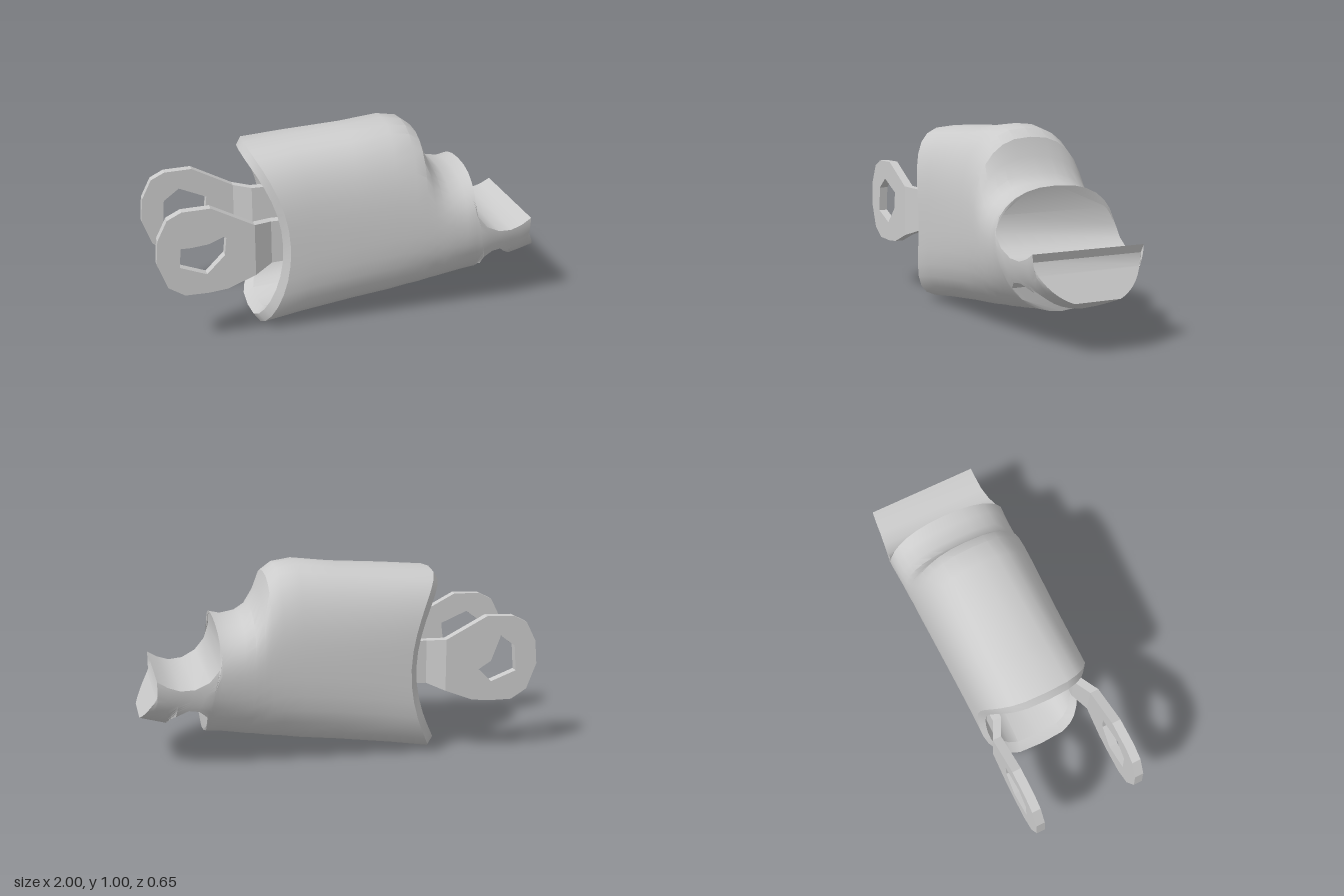
import * as THREE from 'three';
import { mergeGeometries, toCreasedNormals } from 'three/addons/utils/BufferGeometryUtils.js';

const { mapLinear, clamp } = THREE.MathUtils;
const N = 16;      // steps from top to bottom of a section
const MID = 0.48;  // height at which the sections are widest

// Half width of the body: swells towards the saddle, then narrows to the nose.
const halfWidth = (x) => x < 0.65
  ? 0.29 + 0.036 * clamp((x + 0.5) / 1.15, 0, 1) ** 1.5
  : 0.326 - 0.13 * (x - 0.65);

// One closed section: a line from a top point to a bottom point, given width W in z
// by an oval that reaches from eB to eT. bow bends the section along x.
// The oval is boxy at the socket and gets rounder towards the nose.
function section([xt, yt, xb, yb, bow = 0], W = halfWidth((xt + xb) / 2), eT = yt, eB = yb) {
  const topPower = mapLinear(xt, -0.5, 0.65, 3, 2.3);
  const bottomPower = mapLinear(Math.min(xb, 0.68), -0.5, 0.68, 3.7, 2.1);
  const side = [];
  for (let k = 0; k <= N; k++) {
    const s = (1 - Math.cos(Math.PI * k / N)) / 2;
    const x = xt + (xb - xt) * s + bow * (1 - (2 * s - 1) ** 2);
    const y = yt + (yb - yt) * s;
    const p = y > MID ? topPower : bottomPower;
    const d = Math.min(1, y > MID ? (y - MID) / (eT - MID) : (MID - y) / (MID - eB));
    side.push([x, y, W * (1 - d ** p) ** (1 / p)]);
  }
  return [...side, ...side.map(([x, y, z]) => [x, y, -z]).reverse()];
}

// Skin the sections and close both ends.
function loft(rings) {
  const m = rings[0].length, last = (rings.length - 1) * m, index = [];
  for (let i = 0; i < rings.length - 1; i++) {
    for (let j = 0; j < m; j++) {
      const a = i * m + j, b = i * m + (j + 1) % m;
      index.push(a, b, a + m, b, b + m, a + m);
    }
  }
  for (let k = 0; k < N; k++) {
    const a = k, b = k + 1, c = m - 1 - k, d = m - 2 - k;
    index.push(a, c, b, b, c, d);
    index.push(last + a, last + b, last + c, last + b, last + d, last + c);
  }
  const geo = new THREE.BufferGeometry();
  geo.setAttribute('position', new THREE.Float32BufferAttribute(rings.flat(2), 3));
  geo.setIndex(index);
  return toCreasedNormals(geo, 0.5);
}

const path = (pts, Type) => new Type(pts.map(([x, y]) => new THREE.Vector2(x, y)));

export function createModel() {
  const group = new THREE.Group();
  const material = new THREE.MeshStandardMaterial({ color: 0xcccccc, side: THREE.DoubleSide });
  const add = (name, geo) => {
    const mesh = new THREE.Mesh(geo, material);
    mesh.name = name;
    group.add(mesh);
  };

  // Body sections: top x, top y, bottom x, bottom y, bow
  // Hollow socket, from its floor out to the rim
  const socket = [
    [0.25, 0.90, 0.25, 0.14],
    [-0.20, 0.88, -0.20, 0.09, 0.06],
    [-0.49, 0.85, -0.46, 0.07, 0.13],
  ].map((row) => section(row, 0.24));
  const rim = section([-0.53, 0.89, -0.51, 0.04, 0.145], 0.262);
  // Outer shell with the step down to the ledge
  const shell = [
    [-0.505, 0.93, -0.48, 0.00, 0.15],
    [-0.28, 0.95, -0.28, 0.03, 0.06],
    [0.00, 0.97, 0.00, 0.065],
    [0.20, 0.995, 0.20, 0.085],
    [0.30, 0.98, 0.30, 0.10],
    [0.355, 0.94, 0.36, 0.105],
    [0.385, 0.85, 0.42, 0.115],
    [0.43, 0.77, 0.47, 0.12],
    [0.48, 0.735, 0.53, 0.13],
    [0.56, 0.72, 0.60, 0.14, -0.01],
    [0.62, 0.735, 0.68, 0.145, -0.035],
  ].map((row) => section(row));
  // Nose: round saddle above and notch below, cut straight across the oval
  const nose = [
    [0.60, 0.61, 0.68, 0.22],
    [0.62, 0.53, 0.68, 0.28],
    [0.67, 0.47, 0.72, 0.315],
    [0.74, 0.435, 0.77, 0.32],
    [0.81, 0.43, 0.83, 0.28],
    [0.87, 0.45, 0.87, 0.197],
    [0.92, 0.48, 0.92, 0.215],
    [0.905, 0.44, 0.96, 0.235],
    [0.92, 0.39, 1.00, 0.255],
  ].map((row) => section(row, undefined, 0.735, mapLinear(row[2], 0.68, 1, 0.145, 0.235)));
  add('body', loft([...socket, rim, ...shell, ...nose]));

  // Hinge arms: a flat eyelet, then a neck in two plates that bends into the socket
  const eyelet = path([
    [-1, 0.46], [-0.99, 0.58], [-0.94, 0.68], [-0.87, 0.715], [-0.73, 0.72], [-0.52, 0.61],
    [-0.52, 0.345], [-0.66, 0.29], [-0.75, 0.28], [-0.87, 0.28], [-0.95, 0.33]], THREE.Shape);
  eyelet.holes.push(path([
    [-0.88, 0.56], [-0.8, 0.62], [-0.66, 0.56], [-0.67, 0.47], [-0.76, 0.38], [-0.89, 0.43]], THREE.Path));
  const bendPlate = path([[-0.52, 0.61], [-0.43, 0.6], [-0.43, 0.38], [-0.52, 0.345]], THREE.Shape);
  const rootPlate = path([[-0.43, 0.6], [-0.25, 0.6], [-0.25, 0.39], [-0.43, 0.38]], THREE.Shape);
  for (const side of [1, -1]) {
    const plates = [eyelet, bendPlate, rootPlate].map((shape) =>
      new THREE.ExtrudeGeometry(shape, { depth: 0.045, bevelEnabled: false }));
    const geo = mergeGeometries(plates);
    geo.translate(0, 0, side * 0.27 - 0.0225);
    const pos = geo.attributes.position;
    for (let i = 0; i < pos.count; i++) {
      const bend = clamp((pos.getX(i) + 0.52) / 0.09, 0, 1);
      pos.setZ(i, pos.getZ(i) - side * 0.045 * bend);
    }
    geo.computeVertexNormals();
    add(side > 0 ? 'frontHingeArm' : 'backHingeArm', geo);
  }
  return group;
}
